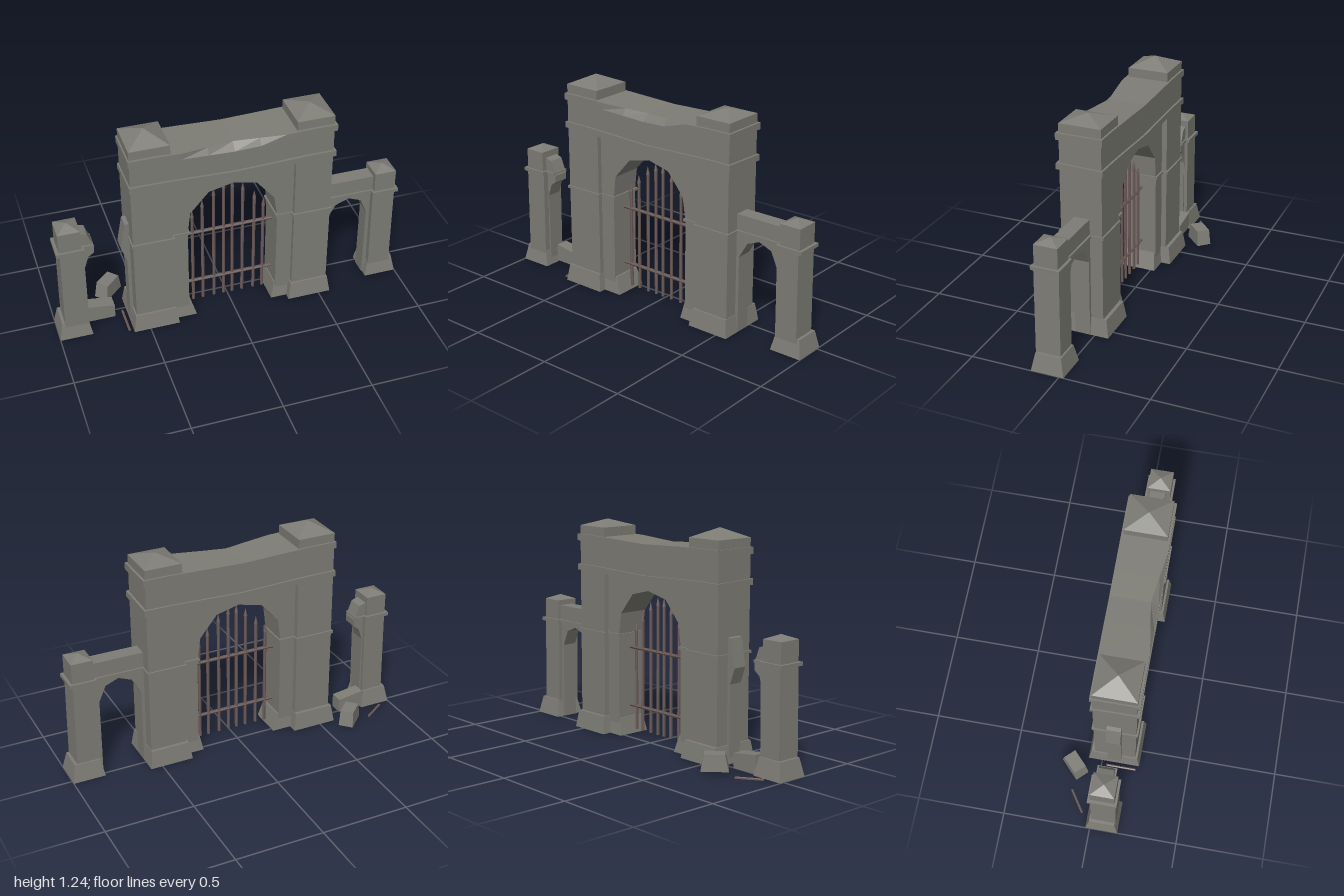
import * as THREE from 'three';

const stone = new THREE.MeshStandardMaterial({ color: 0x7d7c75, flatShading: true });
const iron = new THREE.MeshStandardMaterial({ color: 0x6a5a57, flatShading: true });

function add(parent, name, geo, mat = stone) {
  const mesh = new THREE.Mesh(geo, mat);
  mesh.name = name;
  parent.add(mesh);
  return mesh;
}

// Block given by its limits; rule(v) may move each vertex
function block(x0, x1, y0, y1, z0, z1, rule, segs = 1) {
  const g = new THREE.BoxGeometry(x1 - x0, y1 - y0, z1 - z0, segs, 1, 1);
  g.translate((x0 + x1) / 2, (y0 + y1) / 2, (z0 + z1) / 2);
  if (rule) {
    const p = g.attributes.position, v = new THREE.Vector3();
    for (let i = 0; i < p.count; i++) {
      rule(v.fromBufferAttribute(p, i));
      p.setXYZ(i, v.x, v.y, v.z);
    }
    g.computeVertexNormals();
  }
  return g;
}

// Block whose top is drawn in by the insets l, r (x) and b, f (z)
function taper(x0, x1, y0, y1, z0, z1, l, r = l, b = l, f = l) {
  const my = (y0 + y1) / 2, mx = (x0 + x1) / 2, mz = (z0 + z1) / 2;
  return block(x0, x1, y0, y1, z0, z1, v => {
    if (v.y < my) return;
    v.x += v.x < mx ? l : -r;
    v.z += v.z < mz ? b : -f;
  });
}

// Four-sided roof over a rectangle
function pyramid(x0, x1, y0, y1, z0, z1) {
  const g = new THREE.ConeGeometry(Math.SQRT1_2, 1, 4, 1).rotateY(Math.PI / 4);
  g.scale(x1 - x0, y1 - y0, z1 - z0);
  return g.translate((x0 + x1) / 2, (y0 + y1) / 2, (z0 + z1) / 2);
}

function slab(points, z0, z1) {
  const shape = new THREE.Shape(points.map(p => new THREE.Vector2(...p)));
  return new THREE.ExtrudeGeometry(shape, { depth: z1 - z0, bevelEnabled: false }).translate(0, 0, z0);
}

// Iron rod between two points
function rod(a, b, r) {
  const from = new THREE.Vector3(...a), dir = new THREE.Vector3(...b).sub(from);
  const g = new THREE.CylinderGeometry(r, r, dir.length(), 6);
  g.applyQuaternion(new THREE.Quaternion().setFromUnitVectors(new THREE.Vector3(0, 1, 0), dir.clone().normalize()));
  return g.translate(...from.addScaledVector(dir, 0.5).toArray());
}

function makeTower(name, x0, x1, apex) {
  const g = new THREE.Group(), left = x0 < 0;
  g.name = name;
  add(g, 'towerShaft', block(x0, x1, 0, 1.11, -0.045, 0.19));
  add(g, 'towerPlinth', taper(x0 - 0.023, x1 + 0.018, 0, 0.1, -0.08, 0.217, 0.015));
  add(g, 'towerBand', block(x0 - 0.008, x1 + 0.008, 0.575, 0.59, -0.055, 0.2));
  add(g, 'towerCapBlock', block(x0, x1, 1.1, 1.187, -0.045, 0.19));
  add(g, 'towerCap', pyramid(x0, x1, 1.187, apex, -0.045, 0.19));
  // narrow jamb foot and band beside the gate
  const j0 = left ? -0.37 : 0.225, j1 = left ? -0.22 : 0.37;
  add(g, 'jambPlinth', taper(j0, j1, 0, 0.1, -0.025, 0.175, left ? 0 : 0.02, left ? 0.03 : 0, 0.015, 0.015));
  add(g, 'jambBand', block(left ? -0.36 : 0.24, left ? -0.25 : 0.36, 0.575, 0.59, -0.025, 0.172));
  return g;
}

function makePost(name, side) {
  const g = new THREE.Group();
  g.name = name;
  const a = (u, v) => (side < 0 ? [-v, -u] : [u, v]);
  const box = (u, v, ...rest) => block(...a(u, v), ...rest);
  // shaft is slightly waisted between foot and band
  add(g, 'postShaft', box(0.835, 0.965, 0, 0.58, 0.005, 0.145, v => {
    if (v.y > 0.3) v.x -= side * 0.008;
  }));
  add(g, 'postPlinth', taper(...a(0.815, 1), 0, 0.1, -0.025, 0.16, 0.02));
  add(g, 'postBand', box(0.825, 0.977, 0.575, 0.595, -0.006, 0.153));
  add(g, 'postCapBlock', box(0.837, 0.96, 0.59, 0.71, 0.008, 0.14));
  add(g, 'postCap', pyramid(...a(0.837, 0.96), 0.71, 0.736, 0.008, 0.14));
  return g;
}

export function createModel() {
  const root = new THREE.Group();
  root.name = 'ruinedGateway';

  root.add(makeTower('rightTower', -0.57, -0.35, 1.24));
  root.add(makeTower('leftTower', 0.34, 0.55, 1.225));

  // Recessed wall with the main arch
  add(root, 'archWall', slab([
    [-0.37, 0], [-0.26, 0], [-0.26, 0.58], [-0.245, 0.71], [-0.14, 0.83], [0, 0.862],
    [0.13, 0.83], [0.23, 0.71], [0.25, 0.58], [0.25, 0], [0.37, 0], [0.37, 0.98], [-0.37, 0.98],
  ], -0.015, 0.165));

  // Sagging lintel and its two cornices
  const sag = v => { v.y -= 0.014 * Math.max(0, 1 - Math.abs(v.x) / 0.4); };
  add(root, 'lintel', block(-0.57, 0.55, 0.945, 1.11, -0.045, 0.19, sag, 8));
  add(root, 'lowerCornice', block(-0.578, 0.563, 0.938, 0.972, -0.056, 0.204, v => {
    sag(v);
    if (v.z < 0) v.y -= 0.008;
  }, 8));
  add(root, 'upperCornice', block(-0.578, 0.563, 1.1, 1.137, -0.056, 0.204, v => {
    // the front top edge is worn back in the middle
    if (v.y > 1.12 && v.z > 0) v.z -= 0.045 * Math.max(0, 1 - Math.abs(v.x) / 0.28);
    sag(v);
  }, 8));

  // Iron gate
  const gate = new THREE.Group();
  gate.name = 'gate';
  const xs = [-0.21, -0.152, -0.087, -0.03, 0.02, 0.08, 0.147, 0.2];
  const tips = [0.66, 0.72, 0.785, 0.82, 0.82, 0.785, 0.715, 0.655];
  xs.forEach((x, i) => {
    add(gate, 'gateBar', rod([x, 0.03, 0.075], [x, tips[i] - 0.045, 0.075], 0.009), iron);
    add(gate, 'gateSpike', new THREE.ConeGeometry(0.011, 0.05, 6).translate(x, tips[i] - 0.025, 0.075), iron);
  });
  for (const y of [0.165, 0.505])
    add(gate, 'gateRail', rod([-0.265, y, 0.075], [0.255, y, 0.075], 0.01), iron);
  root.add(gate);

  // Side posts
  root.add(makePost('leftPost', 1), makePost('rightPost', -1));

  // Intact side arch
  add(root, 'sideArch', slab([
    [0.54, 0], [0.568, 0], [0.568, 0.44], [0.62, 0.53], [0.695, 0.56], [0.77, 0.53],
    [0.81, 0.44], [0.81, 0], [0.85, 0], [0.85, 0.68], [0.54, 0.68],
  ], 0.025, 0.112));
  add(root, 'sideArchBand', block(0.55, 0.84, 0.578, 0.593, 0.015, 0.122));

  // Broken remains of the other side arch
  add(root, 'brokenArchOuter', slab([
    [-0.86, 0], [-0.823, 0], [-0.823, 0.44], [-0.8, 0.51], [-0.766, 0.535],
    [-0.764, 0.575], [-0.797, 0.66], [-0.86, 0.68],
  ], 0.025, 0.112));
  add(root, 'brokenArchInner', slab([
    [-0.55, 0], [-0.55, 0.68], [-0.592, 0.675], [-0.62, 0.52], [-0.588, 0.43], [-0.588, 0],
  ], 0.03, 0.11));
  add(root, 'brokenBand', block(-0.84, -0.768, 0.578, 0.593, 0.015, 0.122));

  // Fallen masonry and bars
  add(root, 'fallenBlock', block(-0.82, -0.665, 0.005, 0.108, -0.016, 0.06, v => {
    if (v.x > -0.74) v.y *= v.y > 0.05 ? 0.8 : 1;
  }));
  const chunk = add(root, 'fallenChunk', taper(-0.073, 0.073, 0.02, 0.11, -0.042, 0.042, 0.02, 0.015, 0.004, 0.004));
  chunk.position.set(-0.658, 0, -0.145);
  chunk.rotation.y = 0.76;
  add(root, 'fallenBar', rod([-0.92, 0.008, -0.058], [-0.797, 0.008, -0.14], 0.007), iron);
  add(root, 'fallenBar', rod([-0.618, 0.008, 0.03], [-0.618, 0.008, 0.2], 0.007), iron);

  return root;
}
